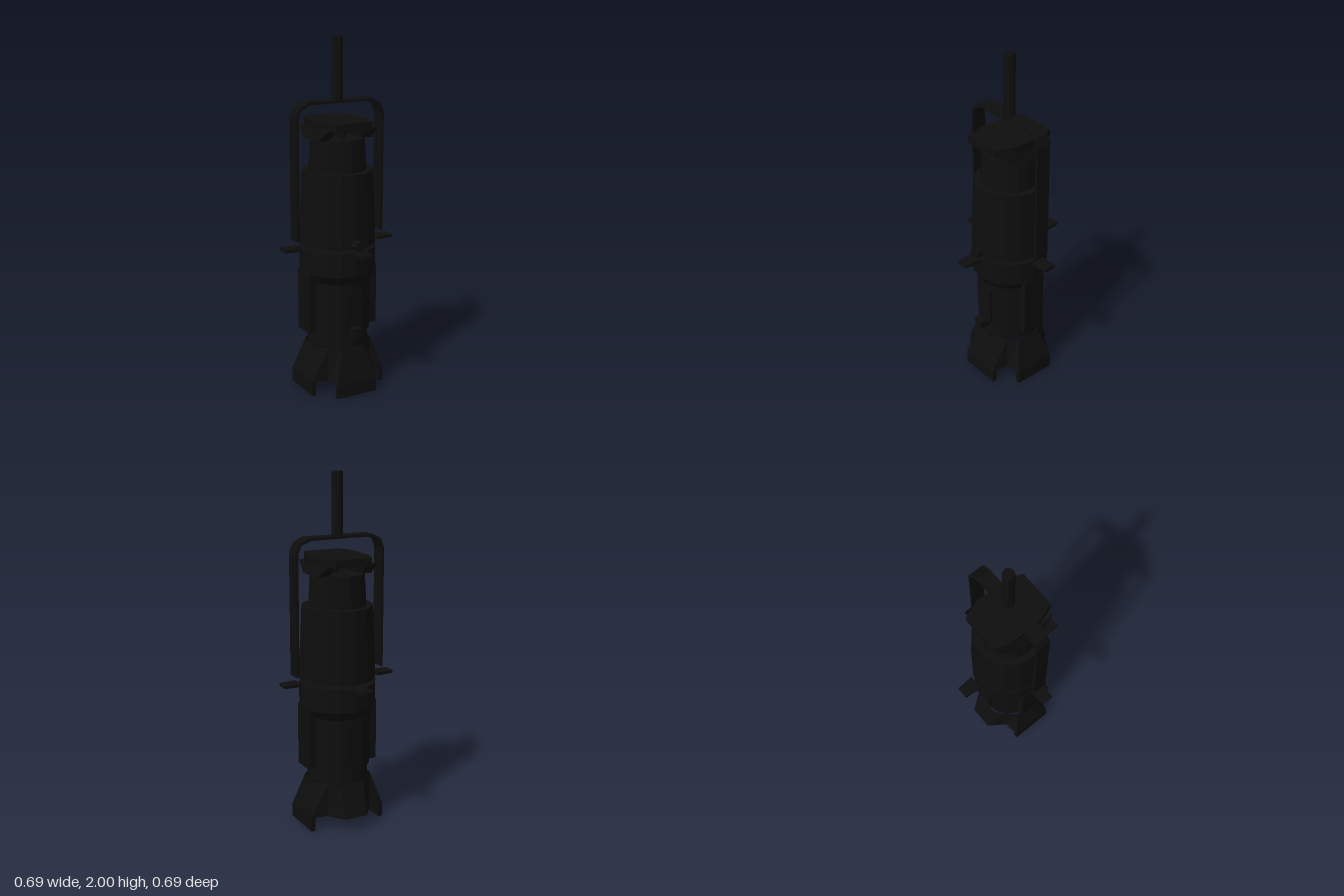
import * as THREE from 'three';

const black = new THREE.MeshStandardMaterial({ color: 0x0e0e0e, flatShading: true, side: THREE.DoubleSide });
black.name = 'matte black';

function add(parent, name, geometry, x = 0, y = 0, z = 0) {
  const mesh = new THREE.Mesh(geometry, black);
  mesh.name = name;
  mesh.position.set(x, y, z);
  parent.add(mesh);
  return mesh;
}

const polygon = (points) => new THREE.Shape(points.map(([x, y]) => new THREE.Vector2(x, y)));
const extrude = (points, depth) => new THREE.ExtrudeGeometry(polygon(points), { depth, bevelEnabled: false });
const lathe = (points) => new THREE.LatheGeometry(points.map(([r, y]) => new THREE.Vector2(r, y)), 16);

// Joins two closed outlines of [x, z] points at different heights
function loft(top, yTop, bottom, yBottom) {
  const n = top.length, position = [], index = [];
  for (const [x, z] of top) position.push(x, yTop, z);
  for (const [x, z] of bottom) position.push(x, yBottom, z);
  for (let i = 0; i < n; i++) {
    const j = (i + 1) % n;
    index.push(i, n + i, j, j, n + i, n + j);
  }
  const g = new THREE.BufferGeometry();
  g.setAttribute('position', new THREE.Float32BufferAttribute(position, 3));
  g.setIndex(index);
  g.computeVertexNormals();
  return g;
}

// Cross-shaped outline with four faces and four recessed corners
function crossOutline(half, reach, corner, backHalf) {
  return [
    [-half, reach], [half, reach], [corner, corner],
    [reach, half], [reach, -half], [corner, -corner],
    [backHalf, -reach], [-backHalf, -reach], [-corner, -corner],
    [-reach, -half], [-reach, half], [-corner, corner],
  ];
}

export function createModel() {
  const light = new THREE.Group();
  light.name = 'hangingStageLight';

  // Lamp housing in two tiers
  add(light, 'lampHousing', lathe([
    [0, 0.857], [0.217, 0.857], [0.2, 1.27], [0.163, 1.27], [0.152, 1.45], [0, 1.45],
  ]));

  // Lens barrel below the shutter gap
  add(light, 'lensBarrel', lathe([
    [0, 0.835], [0.217, 0.835], [0.217, 0.7], [0.187, 0.65], [0.187, 0.35],
    [0.175, 0.35], [0.175, 0.27], [0, 0.27],
  ]));

  // Rails and plates along the barrel
  for (const s of [-1, 1]) {
    add(light, 'barrelRail', new THREE.BoxGeometry(0.06, 0.36, 0.14), s * 0.186, 0.53, 0);
    add(light, 'barrelPlate', new THREE.BoxGeometry(0.1, 0.24, 0.04), 0, 0.5, s * 0.172);
  }
  add(light, 'focusKnob', new THREE.BoxGeometry(0.06, 0.05, 0.07), 0, 0.375, 0.203);

  // Flared filter holder, open below, with flaps on three sides
  add(light, 'filterHolder', loft(
    crossOutline(0.072, 0.175, 0.124, 0.072), 0.27,
    crossOutline(0.124, 0.232, 0.137, 0.07), 0.08));
  for (const s of [-1, 1]) {
    add(light, 'sideFlap', new THREE.BoxGeometry(0.026, 0.08, 0.248), s * 0.219, 0.04, 0);
  }
  add(light, 'frontFlap', new THREE.BoxGeometry(0.248, 0.08, 0.026), 0, 0.04, 0.219);

  // Four shutter blades around the gap
  const blade = extrude([[-0.042, 0.243], [0.042, 0.243], [0.034, 0.343], [-0.034, 0.343]], 0.018);
  blade.rotateX(Math.PI / 2);
  for (let i = 0; i < 4; i++) {
    const mesh = add(light, 'shutterBlade', blade, 0, 0.854, 0);
    mesh.rotation.y = i * Math.PI / 2;
  }

  // Lock knob on the front of the housing
  const lock = new THREE.CylinderGeometry(0.029, 0.029, 0.06, 8);
  lock.rotateX(Math.PI / 2);
  add(light, 'lockKnob', lock, 0, 0.882, 0.23);

  // Rear cap on flared legs with a knob beneath
  const plate = extrude([
    [-0.11, -0.19], [0.11, -0.19], [0.145, -0.09], [0.145, 0.09],
    [0.11, 0.19], [-0.11, 0.19], [-0.145, 0.09], [-0.145, -0.09],
  ], 0.043);
  plate.rotateX(Math.PI / 2);
  add(light, 'capPlate', plate, 0, 1.55, 0);
  for (const s of [-1, 1]) {
    const at = (a, b, z) => [[s * a, z], [s * b, z], [s * b, -z], [s * a, -z]];
    add(light, 'capLeg', loft(at(0.088, 0.15, 0.17), 1.51, at(0.1, 0.168, 0.085), 1.448));
  }
  add(light, 'capKnob', new THREE.CylinderGeometry(0.028, 0.028, 0.04, 10), 0, 1.47, 0.04);

  // Bent strap yoke
  const half = [[0.272, 0.89], [0.272, 1.575], [0.25, 1.628], [0.195, 1.655]];
  const inner = [[0.181, 1.641], [0.24, 1.617], [0.258, 1.572], [0.258, 0.89]];
  const flip = (points) => points.map(([x, y]) => [-x, y]).reverse();
  add(light, 'yoke', extrude([...half, ...flip(half), ...flip(inner), ...inner], 0.086), 0, 0, -0.043);

  // Hanging rod
  add(light, 'hangingRod', new THREE.CylinderGeometry(0.032, 0.032, 0.35, 8), 0, 1.825, 0);

  return light;
}
